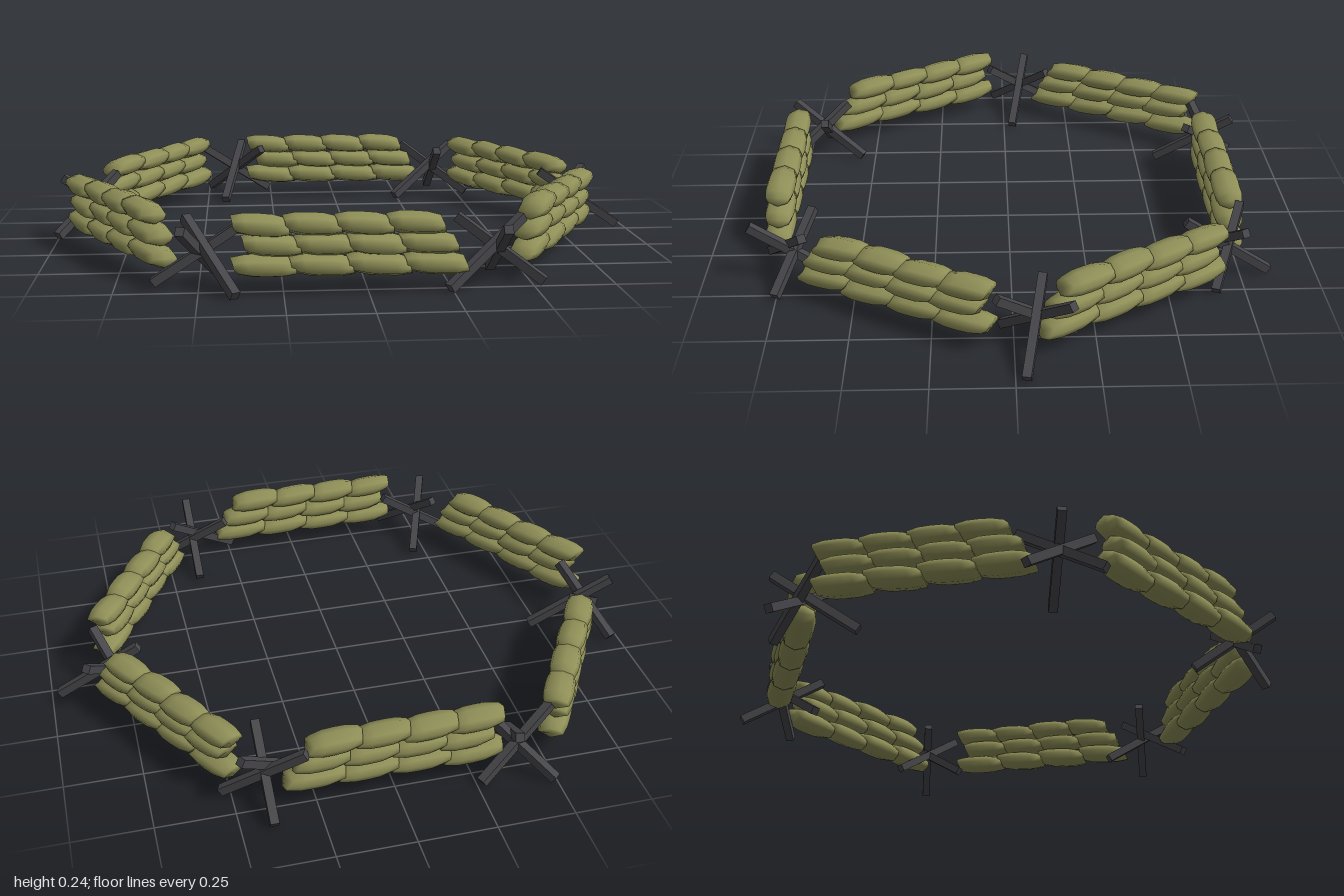
import * as THREE from 'three';
import { mergeVertices } from 'three/addons/utils/BufferGeometryUtils.js';

const bagMaterial = new THREE.MeshStandardMaterial({ color: 0x8f8f58 });
const beamMaterial = new THREE.MeshStandardMaterial({ color: 0x46464a });

// small seeded generator, -1 to 1
let seed = 7;
const jitter = () => {
  seed = (seed * 16807) % 2147483647;
  return (seed / 2147483647) * 2 - 1;
};

// Unit sandbag: a box bulged in the middle, pinched at its ends and leaning
function bagGeometry() {
  let g = new THREE.BoxGeometry(1, 1, 1, 4, 2, 2);
  g.deleteAttribute('uv');
  g.deleteAttribute('normal');
  g = mergeVertices(g);
  const p = g.attributes.position;
  for (let i = 0; i < p.count; i++) {
    const x = p.getX(i), y = p.getY(i), z = p.getZ(i);
    const end = Math.pow(Math.abs(x) * 2, 3);
    const sy = (1 - 0.28 * end) * (Math.abs(z) > 0.4 ? 0.62 : 1);
    const sz = (1 - 0.16 * end) * (Math.abs(y) > 0.4 ? 0.82 : 1);
    p.setXYZ(i, x * (1 - 0.08 * Math.abs(y * z) * 4) - y * 0.12, y * sy, z * sz);
  }
  g.computeVertexNormals();
  return g;
}

// One wall: three staggered courses of four bags, running from a to b
function makeWall(bag, [ax, az], [bx, bz]) {
  const wall = new THREE.Group();
  wall.name = 'sandbagWall';
  const length = Math.hypot(bx - ax, bz - az);
  const courses = [
    { y: 0.088, from: 0, to: length },
    { y: 0.149, from: 0.03, to: length - 0.03 },
    { y: 0.209, from: 0, to: length - 0.07 },
  ];
  for (const { y, from, to } of courses) {
    const step = (to - from) / 4;
    for (let i = 0; i < 4; i++) {
      const mesh = new THREE.Mesh(bag, bagMaterial);
      mesh.name = 'sandbag';
      mesh.scale.set(step + 0.012, 0.071, 0.096);
      mesh.position.set(from + step * (i + 0.5), y, jitter() * 0.003);
      mesh.rotation.set(jitter() * 0.08, jitter() * 0.03, -0.05 + jitter() * 0.03);
      wall.add(mesh);
    }
  }
  wall.position.set(ax, 0, az);
  wall.rotation.y = -Math.atan2(bz - az, bx - ax);
  return wall;
}

// Beam ends of one obstacle, low end to high end
const BEAMS = [
  [[0, 0.02, -0.14], [0, 0.2, 0.14]],
  [[-0.163, 0.016, 0.1], [0.078, 0.2, -0.04]],
  [[0.13, 0.02, 0.052], [-0.12, 0.2, -0.055]],
];

// Obstacle of three crossed steel beams
function makeObstacle(x, z, degrees) {
  const obstacle = new THREE.Group();
  obstacle.name = 'beamObstacle';
  for (const [low, high] of BEAMS) {
    const a = new THREE.Vector3(...low), b = new THREE.Vector3(...high);
    const beam = new THREE.Mesh(new THREE.BoxGeometry(0.028, 0.028, a.distanceTo(b)), beamMaterial);
    beam.name = 'steelBeam';
    beam.position.copy(a).add(b).multiplyScalar(0.5);
    beam.lookAt(b);
    obstacle.add(beam);
  }
  obstacle.position.set(x, 0, z);
  obstacle.rotation.y = THREE.MathUtils.degToRad(degrees);
  return obstacle;
}

export function createModel() {
  seed = 7;
  const model = new THREE.Group();
  model.name = 'barricadeRing';
  const bag = bagGeometry();

  // six walls around the ring
  const walls = [
    [[-0.335, -0.73], [0.335, -0.727]],
    [[0.49, -0.655], [0.82, -0.09]],
    [[0.81, 0.075], [0.48, 0.655]],
    [[-0.39, 0.765], [0.285, 0.765]],
    [[-0.92, 0.07], [-0.6, 0.645]],
    [[-0.525, -0.72], [-0.865, -0.14]],
  ];
  for (const [a, b] of walls) model.add(makeWall(bag, a, b));

  // an obstacle in each gap: x, z, turn
  const obstacles = [
    [0.4, -0.703, 0],
    [0.4, 0.7, 0],
    [0.785, -0.067, 138],
    [-0.905, -0.067, 138],
    [-0.39, -0.757, 46],
    [-0.497, 0.676, 92],
  ];
  for (const o of obstacles) model.add(makeObstacle(...o));
  return model;
}
